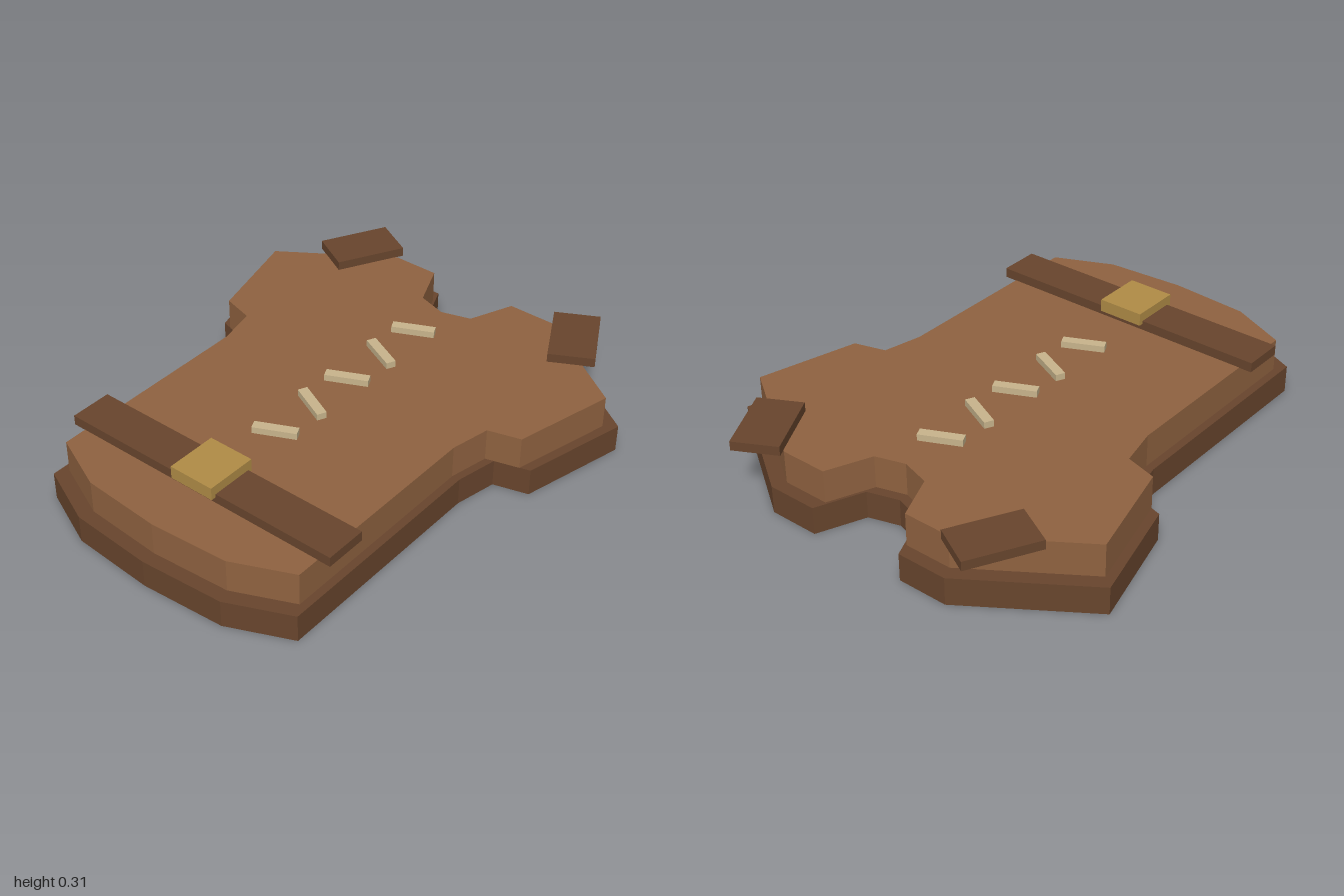
import * as THREE from 'three';

const material = (name, color) => {
  const m = new THREE.MeshStandardMaterial({ color });
  m.name = name;
  return m;
};

// Half outline of the vest as [x, z], from the neckline round to the hem
const HALF = [
  [0, -0.718], [0.123, -0.755], [0.2, -0.94], [0.4, -0.94], [0.845, -0.642],
  [0.738, -0.222], [0.605, -0.185], [0.57, -0.02], [0.57, 0.87], [0.33, 0.977], [0, 1.0],
];

export function createModel() {
  const group = new THREE.Group();
  group.name = 'leatherVest';
  const leather = material('leather', 0x8f6240);
  const darkLeather = material('darkLeather', 0x68452d);
  const brass = material('brass', 0xb08c46);
  const cord = material('cord', 0xc8b48c);

  // Mirrored outline slab from height y0 to y1
  const slab = (name, mat, scale, y0, y1) => {
    const mirrored = HALF.slice(1, -1).reverse().map(([x, z]) => [-x, z]);
    const points = [...HALF, ...mirrored].map(([x, z]) => new THREE.Vector2(x * scale, -z * scale));
    const geometry = new THREE.ExtrudeGeometry(new THREE.Shape(points), { depth: y1 - y0, bevelEnabled: false });
    geometry.rotateX(-Math.PI / 2);
    const mesh = new THREE.Mesh(geometry, mat);
    mesh.name = name;
    mesh.position.y = y0;
    group.add(mesh);
  };

  // Flat block centred at x, z, spanning y0 to y1, turned about y
  const block = (name, mat, w, d, x, z, y0, y1, turn = 0) => {
    const mesh = new THREE.Mesh(new THREE.BoxGeometry(w, y1 - y0, d), mat);
    mesh.name = name;
    mesh.position.set(x, (y0 + y1) / 2, z);
    mesh.rotation.y = turn;
    group.add(mesh);
  };

  // Backing and raised front panel
  slab('backing', darkLeather, 1, 0, 0.11);
  slab('frontPanel', leather, 0.945, 0.11, 0.24);

  // Shoulder straps
  for (const side of [1, -1]) {
    block(side > 0 ? 'leftShoulderStrap' : 'rightShoulderStrap', darkLeather,
      0.18, 0.287, side * 0.516, -0.83, 0.239, 0.276, side * 0.49);
  }

  // Belt and buckle
  block('belt', darkLeather, 1.18, 0.165, 0, 0.647, 0.239, 0.278);
  block('buckle', brass, 0.186, 0.203, 0, 0.648, 0.265, 0.315);

  // Zigzag lacing
  for (let i = 0; i < 5; i++) {
    block(`lace${i + 1}`, cord, 0.167, 0.038, 0, -0.497 + i * 0.203, 0.235, 0.266, i % 2 ? -0.44 : 0.44);
  }

  return group;
}
